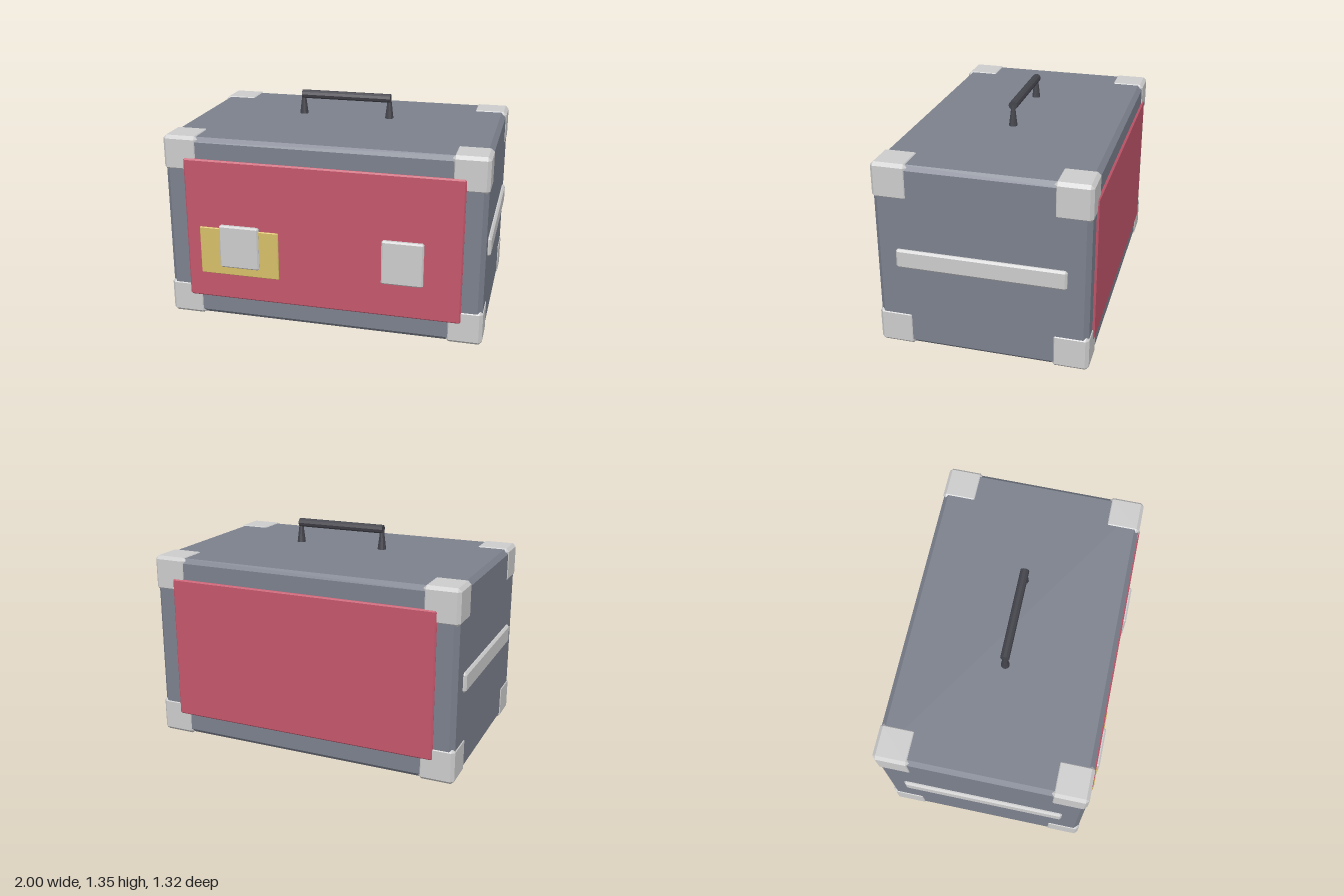
import * as THREE from 'three';
import { ConvexGeometry } from 'three/addons/geometries/ConvexGeometry.js';

const material = (color) => new THREE.MeshStandardMaterial({ color, flatShading: true });
const shell = material(0x7b808c);
const red = material(0xc2566b);
const brass = material(0xd6bd68);
const metal = material(0xcccccc);
const dark = material(0x43434b);

const CZ = -0.017; // depth centre of the case

// Box between two corners with every edge chamfered by c
function chamferBox(name, mat, min, max, c) {
  const centre = min.map((v, i) => (v + max[i]) / 2);
  const half = min.map((v, i) => Math.abs(max[i] - v) / 2);
  const points = [];
  for (const sx of [-1, 1]) for (const sy of [-1, 1]) for (const sz of [-1, 1]) {
    for (let axis = 0; axis < 3; axis++) {
      const p = half.map((h, i) => (i === axis ? h : h - c));
      points.push(new THREE.Vector3(sx * p[0], sy * p[1], sz * p[2]));
    }
  }
  const mesh = new THREE.Mesh(new ConvexGeometry(points), mat);
  mesh.name = name;
  mesh.position.set(...centre);
  return mesh;
}

export function createModel() {
  const model = new THREE.Group();
  model.name = 'equipmentCase';

  // Case body
  model.add(chamferBox('caseBody', shell, [-0.98, 0.005, CZ - 0.632], [0.98, 1.163, CZ + 0.632], 0.028));

  // Eight corner protectors, standing slightly proud of the body
  const size = 0.22;
  for (const sx of [-1, 1]) for (const top of [0, 1]) for (const sz of [-1, 1]) {
    const y = top ? 1.168 - size : 0;
    model.add(chamferBox('cornerProtector', metal,
      [sx * 0.985, y, CZ + sz * 0.637],
      [sx * (0.985 - size), y + size, CZ + sz * (0.637 - size)], 0.02));
  }

  // Front and back panels
  model.add(chamferBox('frontPanel', red, [-0.855, 0.135, 0.595], [0.855, 1.034, 0.629], 0.009));
  model.add(chamferBox('backPanel', red, [-0.855, 0.135, -0.661], [0.855, 1.034, -0.627], 0.009));

  // Label plate behind one latch, and the two latches
  model.add(chamferBox('labelPlate', brass, [-0.76, 0.307, 0.638], [-0.258, 0.61, 0.652], 0.004));
  for (const x of [-0.507, 0.504]) {
    model.add(chamferBox('latch', metal, [x - 0.126, 0.358, 0.629], [x + 0.126, 0.632, 0.663], 0.009));
  }

  // Side grip strips
  for (const s of [-1, 1]) {
    model.add(chamferBox('sideStrip', metal, [s * 0.96, 0.525, CZ - 0.505], [s, 0.643, CZ + 0.505], 0.012));
  }

  // Carry handle: a round bar on two flared legs
  const handle = new THREE.Group();
  handle.name = 'carryHandle';
  const bar = new THREE.Mesh(new THREE.CylinderGeometry(0.027, 0.027, 0.576, 10), dark);
  bar.name = 'handleBar';
  bar.rotation.z = Math.PI / 2;
  bar.position.set(0, 1.32, CZ);
  handle.add(bar);
  for (const s of [-1, 1]) {
    const leg = new THREE.Mesh(new THREE.CylinderGeometry(0.011, 0.027, 0.127, 10), dark);
    leg.name = 'handleLeg';
    leg.position.set(s * 0.28, 1.257, CZ);
    handle.add(leg);
  }
  model.add(handle);

  return model;
}
